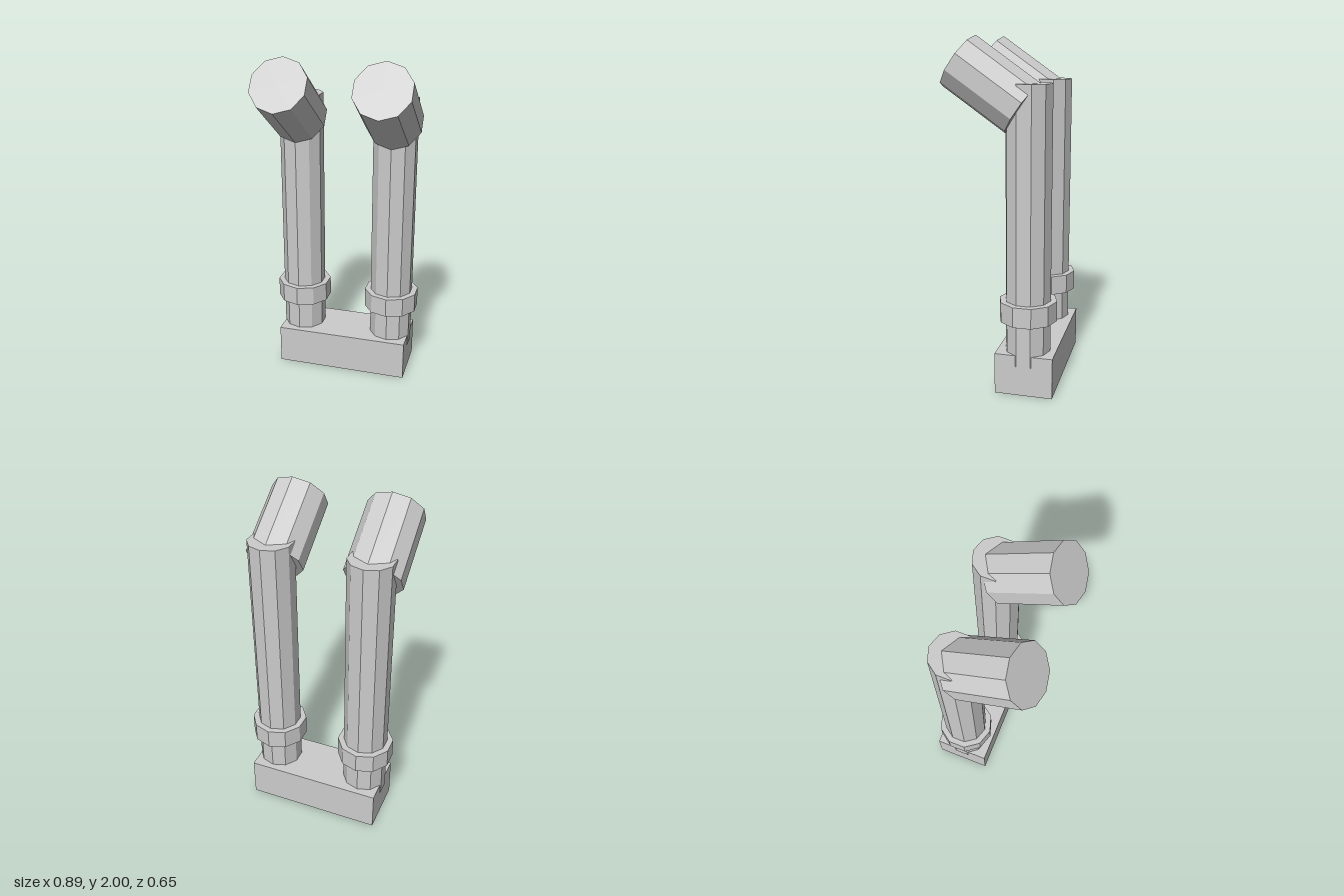
import * as THREE from 'three';

const SIDES = 10;

export function createModel() {
  const model = new THREE.Group();
  model.name = 'twinPipes';
  const grey = new THREE.MeshStandardMaterial({ color: 0xcccccc, flatShading: true });

  const add = (parent, name, geometry, x, y, z) => {
    const mesh = new THREE.Mesh(geometry, grey);
    mesh.name = name;
    mesh.position.set(x, y, z);
    parent.add(mesh);
    return mesh;
  };
  const tube = (radius, length) => new THREE.CylinderGeometry(radius, radius, length, SIDES);

  // Base block joining both pipes
  add(model, 'base', new THREE.BoxGeometry(0.814, 0.24, 0.334), 0, 0.12, -0.16);

  // Two identical pipes, each with a collar and a tilted outlet
  for (const side of [1, -1]) {
    const pipe = new THREE.Group();
    pipe.name = side > 0 ? 'leftPipe' : 'rightPipe';
    pipe.position.set(side * 0.287, 0, -0.16);
    model.add(pipe);

    add(pipe, 'upright', tube(0.131, 1.576), 0, 0.963, 0);
    add(pipe, 'collar', tube(0.167, 0.117), 0, 0.482, 0);
    const outlet = add(pipe, 'outlet', tube(0.167, 0.435), 0, 1.74, 0.212);
    outlet.rotation.x = THREE.MathUtils.degToRad(55);
  }
  return model;
}
